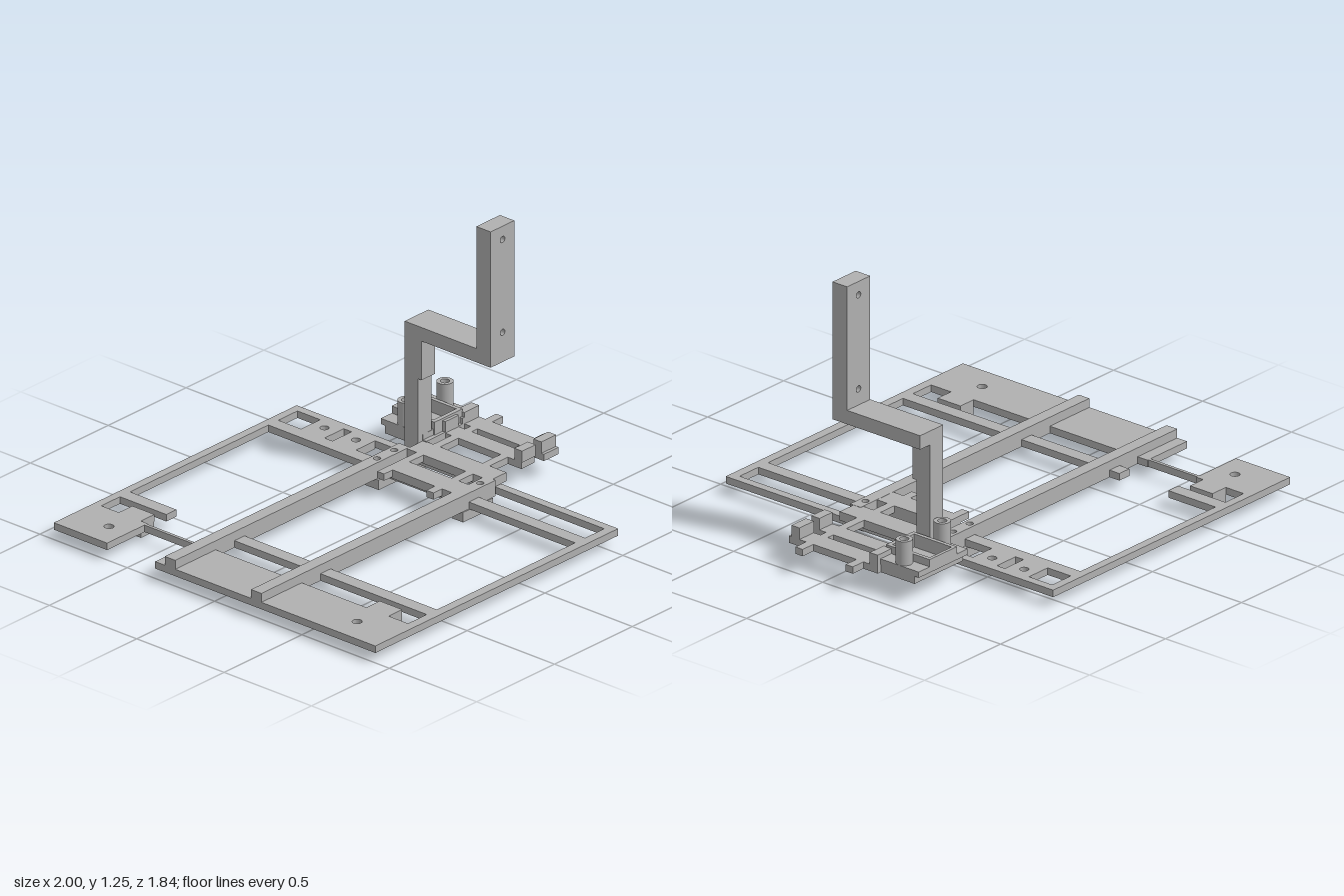
import * as THREE from 'three';

const grey = new THREE.MeshStandardMaterial({ color: 0xb0b0b0 });
grey.name = 'plain grey';

export function createModel() {
  const root = new THREE.Group();
  root.name = 'slidingMountFrame';

  // Box given by its limits on each axis
  function box(parent, name, x0, x1, y0, y1, z0, z1) {
    const m = new THREE.Mesh(new THREE.BoxGeometry(x1 - x0, y1 - y0, z1 - z0), grey);
    m.position.set((x0 + x1) / 2, (y0 + y1) / 2, (z0 + z1) / 2);
    m.name = name;
    parent.add(m);
    return m;
  }

  // Rectangle in (u, v) with round holes [u, v, r], extruded by depth
  function drilled(u0, u1, v0, v1, depth, holes) {
    const s = new THREE.Shape();
    s.moveTo(u0, v0).lineTo(u1, v0).lineTo(u1, v1).lineTo(u0, v1).closePath();
    for (const [u, v, r] of holes) {
      s.holes.push(new THREE.Path().absarc(u, v, r, 0, Math.PI * 2, true));
    }
    return new THREE.ExtrudeGeometry(s, { depth, bevelEnabled: false, curveSegments: 10 });
  }

  // Horizontal slab with vertical holes [x, z, r]
  function slab(parent, name, x0, x1, y0, y1, z0, z1, holes) {
    const g = drilled(x0, x1, -z1, -z0, y1 - y0, holes.map(([x, z, r]) => [x, -z, r]));
    g.rotateX(-Math.PI / 2).translate(0, y0, 0);
    const m = new THREE.Mesh(g, grey);
    m.name = name;
    parent.add(m);
  }

  function group(name) {
    const g = new THREE.Group();
    g.name = name;
    root.add(g);
    return g;
  }

  // Flat base frame
  const base = group('baseFrame');
  const lo = 0.047, hi = 0.08;
  slab(base, 'sidePlate', -1, -0.74, lo, hi, -0.34, 0.92, [[-0.87, 0.7, 0.022]]);
  slab(base, 'cornerPlate', -1, -0.74, lo, hi, -0.92, -0.615, [[-0.87, -0.72, 0.022]]);
  box(base, 'thinLink', -0.76, -0.745, lo, hi, -0.615, -0.34);
  box(base, 'backStrip', -0.74, 0.56, lo, hi, -0.92, -0.88);
  box(base, 'frontStrip', -0.74, 0.56, lo, hi, 0.876, 0.92);
  box(base, 'crossBar', -0.62, -0.555, lo, hi, -0.34, 0.876);
  box(base, 'crossBarStub', -0.62, -0.555, lo, hi, -0.88, -0.615);
  box(base, 'longCrossBar', 0.333, 0.397, lo, hi, -0.88, 0.876);
  box(base, 'outerBar', 0.52, 0.56, lo, hi, -0.88, 0.876);
  for (const [z0, z1] of [[-0.75, -0.615], [-0.57, -0.435]]) {
    slab(base, 'drilledBridge', 0.397, 0.52, lo, hi, z0, z1, [[0.472, (z0 + z1) / 2, 0.02]]);
  }
  box(base, 'bridgePad', 0.397, 0.52, 0.041, lo, -0.56, -0.435);
  // Tabs and the feet below them
  for (const [z0, z1] of [[-0.78, -0.653], [0.637, 0.765]]) {
    box(base, 'tab', -0.74, -0.653, lo, hi, z0, z1);
    box(base, 'foot', -0.74, -0.655, 0, lo, z0, z1);
  }

  // Two rails and the feet at their ends
  const rails = group('rails');
  slab(rails, 'backRail', -1, 0.505, lo, 0.122, -0.285, -0.225,
    [[0.33, -0.255, 0.016], [0.44, -0.255, 0.016]]);
  slab(rails, 'frontRail', -1, 0.505, lo, 0.122, 0.209, 0.268, [[0.44, 0.237, 0.016]]);
  box(rails, 'backFoot', 0.29, 0.648, 0, lo, -0.302, -0.21);
  slab(rails, 'frontFoot', 0.29, 0.482, 0, lo, 0.209, 0.273, [[0.44, 0.237, 0.016]]);

  // Sliding carriage
  const carriage = group('carriage');
  const cLo = 0.089, cHi = 0.121;
  box(carriage, 'crossArm', 0.235, 1, cLo, cHi, -0.17, -0.13);
  box(carriage, 'crossArm', 0.235, 1, cLo, cHi, 0.112, 0.153);
  box(carriage, 'innerBar', 0.29, 0.397, hi, cHi, -0.17, 0.209);
  box(carriage, 'middleBar', 0.488, 0.595, hi, cHi, -0.225, 0.25);
  box(carriage, 'guideBar', 0.712, 0.798, cLo, cHi, -0.22, 0.23);
  box(carriage, 'guideBar', 0.835, 0.93, cLo, cHi, -0.25, 0.25);
  for (const [x0, x1] of [[0.712, 0.798], [0.835, 0.93]]) {
    box(carriage, 'frontStop', x0, x1, cHi, 0.175, 0.19, 0.235);
    box(carriage, 'backStop', x0, x1, cHi, 0.175, -0.25, -0.205);
  }
  box(carriage, 'frontLip', 0.845, 0.9, cLo, cHi, 0.23, 0.25);

  // Tray with two hollow pegs
  const tray = group('tray');
  box(tray, 'trayFloor', 0.59, 0.91, cLo, 0.125, -0.44, -0.205);
  box(tray, 'traySide', 0.59, 0.678, 0.125, 0.152, -0.465, -0.225);
  box(tray, 'traySide', 0.822, 0.912, 0.125, 0.152, -0.465, -0.205);
  box(tray, 'trayBack', 0.66, 0.84, 0.125, 0.186, -0.465, -0.45);
  box(tray, 'trayFront', 0.66, 0.84, 0.125, 0.186, -0.24, -0.22);
  box(tray, 'trayWall', 0.66, 0.678, 0.125, 0.186, -0.46, -0.22);
  box(tray, 'trayWall', 0.822, 0.84, 0.125, 0.186, -0.46, -0.22);
  const profile = [[0.02, 0.152], [0.037, 0.152], [0.037, 0.264], [0.02, 0.264], [0.02, 0.152]];
  for (const x of [0.625, 0.875]) {
    const segments = profile.slice(1).map((p, i) => [profile[i], p]);
    const peg = new THREE.Group();
    peg.name = 'hollowPeg';
    for (const pair of segments) {
      const pts = pair.map(([r, y]) => new THREE.Vector2(r, y));
      peg.add(Object.assign(new THREE.Mesh(new THREE.LatheGeometry(pts, 24), grey), { name: 'pegFace' }));
    }
    peg.position.set(x, 0, -0.352);
    tray.add(peg);
  }

  // Cranked upright: post, arm and drilled upper plate
  const upright = group('upright');
  box(upright, 'lowerPost', 0.56, 0.648, lo, 0.425, -0.302, -0.226);
  box(upright, 'postBase', 0.56, 0.648, lo, 0.09, -0.302, -0.21);
  box(upright, 'upperPost', 0.56, 0.648, 0.425, 0.61, -0.302, -0.206);
  box(upright, 'arm', 0.56, 0.712, 0.61, 0.675, -0.302, 0.108);
  const plate = new THREE.Mesh(
    drilled(0.56, 0.712, 0.61, 1.253, 0.082, [[0.637, 0.75, 0.015], [0.637, 1.19, 0.015]]), grey);
  plate.position.z = 0.108;
  plate.name = 'upperPlate';
  upright.add(plate);

  return root;
}
